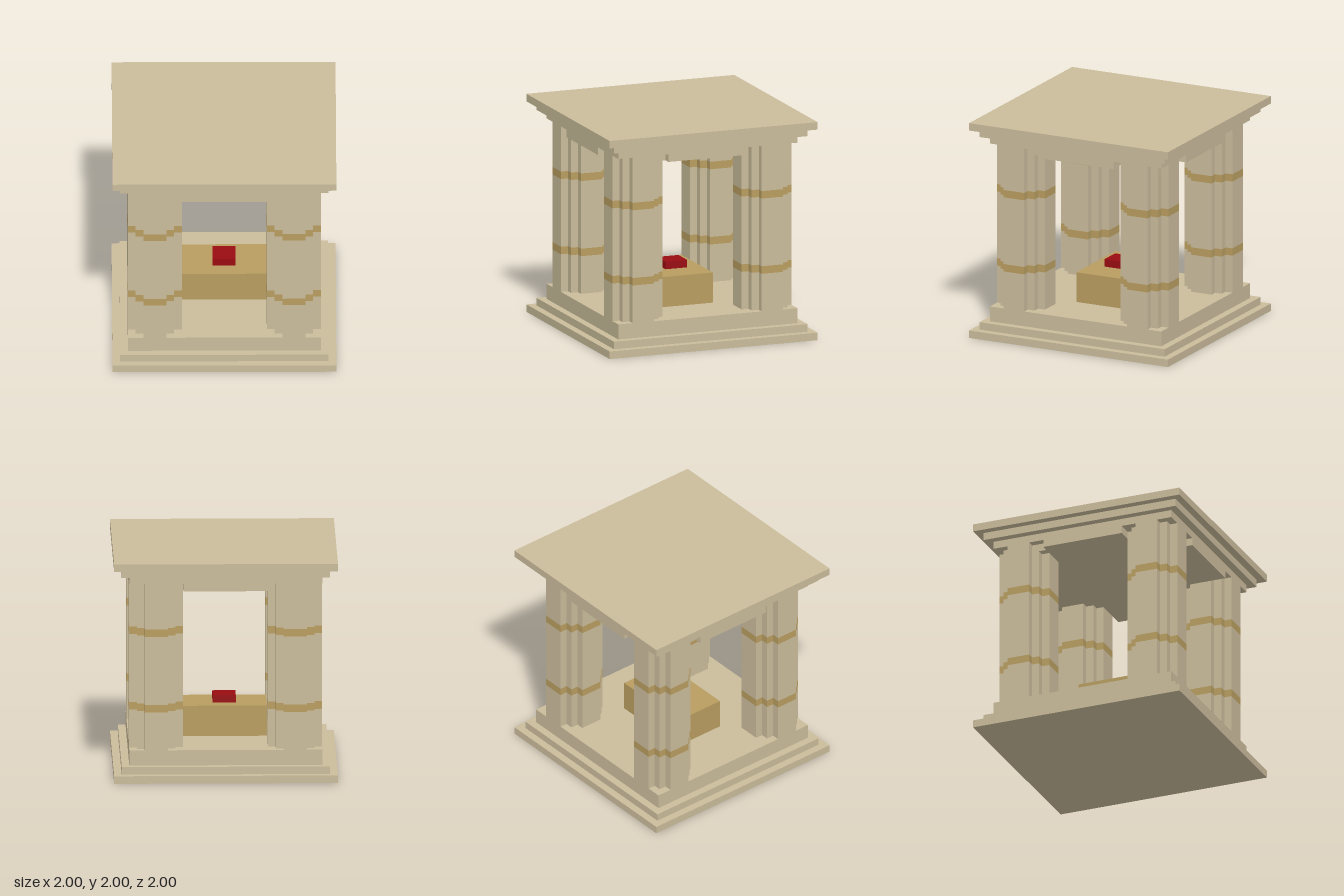
import * as THREE from 'three';

const U = 2 / 29; // block size: the whole pavilion is 29 blocks wide

export function createModel() {
  const model = new THREE.Group();
  model.name = 'pavilion';

  const paint = (name, color) => {
    const m = new THREE.MeshStandardMaterial({ color });
    m.name = name;
    return m;
  };
  const stone = paint('pale sandstone', 0xcabc9b);
  const gold = paint('ochre stone', 0xb89d60);
  const red = paint('red', 0x990c12);

  // Box given in blocks: half sizes in x and z, bottom and top in y
  const slab = (name, hx, hz, y0, y1, material, x = 0, z = 0) => {
    const mesh = new THREE.Mesh(new THREE.BoxGeometry(hx * 2 * U, (y1 - y0) * U, hz * 2 * U), material);
    mesh.position.set(x * U, ((y0 + y1) / 2) * U, z * U);
    mesh.name = name;
    model.add(mesh);
    return mesh;
  };

  // Stepped base
  slab('lowerStep', 14.5, 14.5, 0, 1, stone);
  slab('upperStep', 13.5, 13.5, 1, 2, stone);
  slab('floor', 12.5, 12.5, 2, 4, stone);

  // Altar with a small block on top
  slab('altar', 5.5, 3.5, 4, 8, gold);
  slab('altarBlock', 1.5, 1.5, 8, 9, red);

  // Stepped round plan of a column: one corner staircase turned four times
  const points = [];
  for (let i = 0; i < 4; i++) {
    for (const [x, y] of [[3.5, -1.5], [3.5, 1.5], [2.5, 1.5], [2.5, 2.5], [1.5, 2.5]]) {
      points.push(new THREE.Vector2(x * U, y * U).rotateAround(new THREE.Vector2(), (i * Math.PI) / 2));
    }
  }
  const plan = new THREE.Shape(points);
  const drum = (y0, y1) => {
    const g = new THREE.ExtrudeGeometry(plan, { depth: (y1 - y0) * U, bevelEnabled: false });
    g.rotateX(-Math.PI / 2);
    g.translate(0, y0 * U, 0);
    return g;
  };
  const drums = [
    ['columnShaft', drum(4, 9), stone],
    ['columnBand', drum(9, 10), gold],
    ['columnShaft', drum(10, 19), stone],
    ['columnBand', drum(19, 20), gold],
    ['columnShaft', drum(20, 26), stone],
  ];
  for (const sx of [-1, 1]) {
    for (const sz of [-1, 1]) {
      const column = new THREE.Group();
      column.name = (sz > 0 ? 'front' : 'back') + (sx > 0 ? 'Left' : 'Right') + 'Column';
      column.position.set(sx * 9 * U, 0, sz * 9 * U);
      for (const [name, geometry, material] of drums) {
        const mesh = new THREE.Mesh(geometry, material);
        mesh.name = name;
        column.add(mesh);
      }
      model.add(column);
    }
  }

  // Ceiling with lintels reaching out between the columns
  slab('ceiling', 10.5, 10.5, 25, 26, stone);
  slab('lintelFrontToBack', 5.5, 12.5, 25, 26, stone);
  slab('lintelSideToSide', 12.5, 5.5, 25, 26, stone);

  // Small filler block beside one end of each lintel
  for (const [x, z] of [[-6, 11], [11, 6], [6, -11], [-11, -6]]) {
    slab('lintelFiller', 0.5, 0.5, 25, 26, stone, x, z);
  }

  // Stepped cornice and roof
  slab('frieze', 12.5, 12.5, 26, 27, stone);
  slab('cornice', 13.5, 13.5, 27, 28, stone);
  slab('roof', 14.5, 14.5, 28, 29, stone);

  return model;
}
